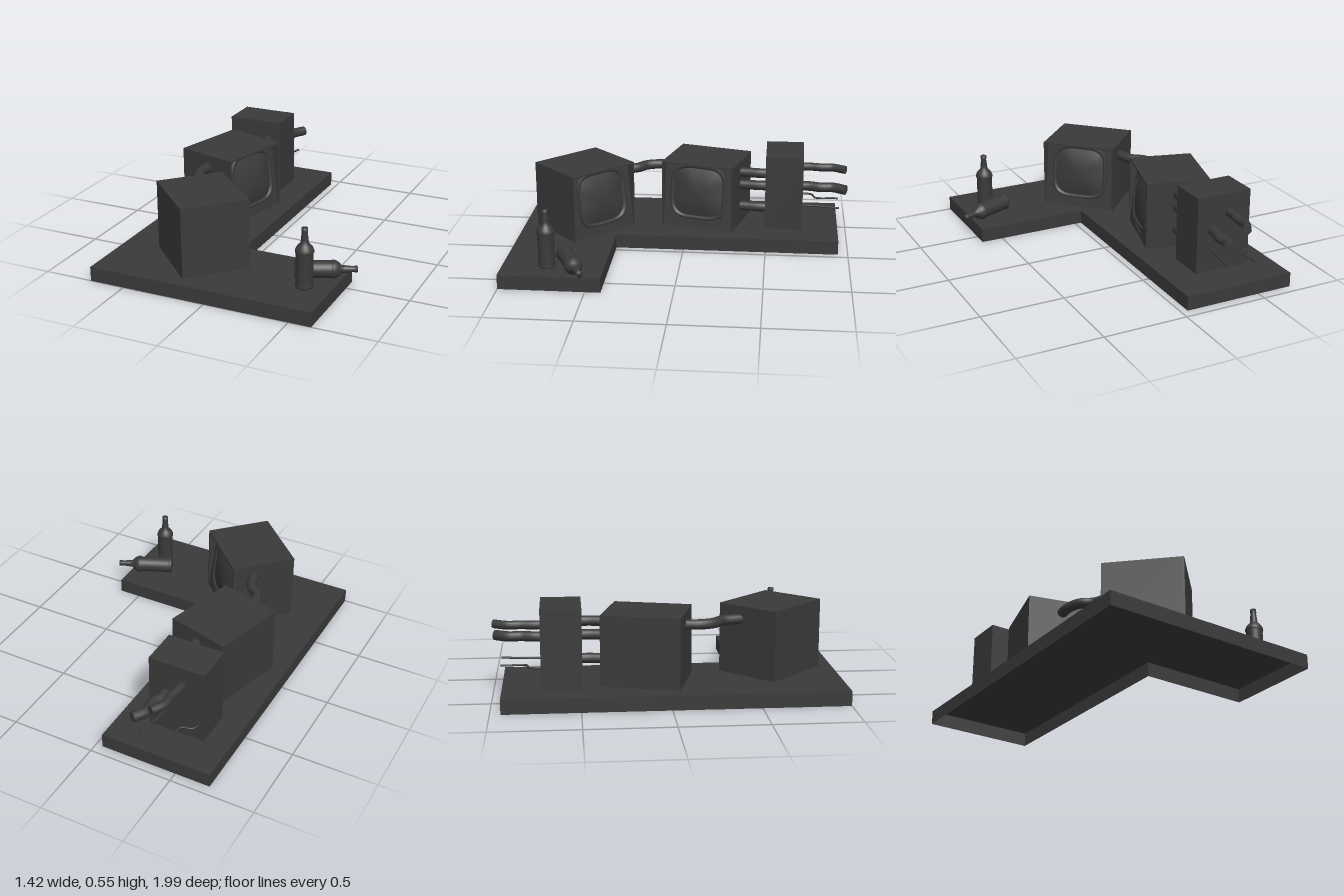
import * as THREE from 'three';

const dark = new THREE.MeshStandardMaterial({ color: 0x3a3a3a });
const darkOpen = new THREE.MeshStandardMaterial({ color: 0x3a3a3a, side: THREE.DoubleSide });
const DECK = 0.085; // height of the desk top

function add(parent, name, geometry, material = dark) {
  const mesh = new THREE.Mesh(geometry, material);
  mesh.name = name;
  parent.add(mesh);
  return mesh;
}

// L-shaped desk slab, open underneath
function createDesk() {
  const desk = new THREE.Group();
  desk.name = 'desk';
  const corners = [[-0.71, 1], [0.63, 1], [0.63, 0.41], [-0.04, 0.41], [-0.04, -0.94], [-0.71, -0.94]];
  const shape = new THREE.Shape(corners.map(([x, z]) => new THREE.Vector2(x, -z)));
  const top = add(desk, 'deskTop', new THREE.ShapeGeometry(shape), darkOpen);
  top.rotation.x = -Math.PI / 2;
  top.position.y = DECK;
  corners.forEach(([x, z], i) => {
    const [x2, z2] = corners[(i + 1) % corners.length];
    const wall = add(desk, 'deskEdge', new THREE.PlaneGeometry(Math.hypot(x2 - x, z2 - z), DECK), darkOpen);
    wall.position.set((x + x2) / 2, DECK / 2, (z + z2) / 2);
    wall.rotation.y = Math.atan2(z - z2, x2 - x);
  });
  return desk;
}

// Rounded-square picture tube with raised rim: a lathe stretched to a squircle
function screenGeometry() {
  const profile = [[0.18, -0.005], [0.178, 0.01], [0.172, 0.013], [0.162, 0.012], [0.157, 0.002]];
  for (let i = 0; i <= 8; i++) {
    const r = 0.155 * (1 - i / 8);
    profile.push([r, 0.003 + 0.028 * (1 - (r / 0.155) ** 2)]);
  }
  const geo = new THREE.LatheGeometry(profile.map(([r, h]) => new THREE.Vector2(r, h)), 64);
  geo.rotateX(Math.PI / 2);
  const p = geo.attributes.position;
  for (let i = 0; i < p.count; i++) {
    const a = Math.atan2(p.getY(i), p.getX(i));
    const f = (Math.cos(a) ** 4 + Math.sin(a) ** 4) ** -0.25;
    p.setXY(i, p.getX(i) * f, p.getY(i) * f * 0.95);
  }
  geo.computeVertexNormals();
  return geo;
}

// Television: hooded case with a panel leaning back under the hood, facing local +z
function createTelevision(x, z, angle, width, depth) {
  const tv = new THREE.Group();
  tv.name = 'television';
  const h = 0.41, d = depth / 2, wall = 0.01, recess = 0.055;
  const side = new THREE.Shape([
    [-d, 0], [d, 0], [d - recess, h - wall], [d, h - wall], [d, h], [-d, h],
  ].map(([a, b]) => new THREE.Vector2(a, b)));
  const body = new THREE.ExtrudeGeometry(side, { depth: width - 2 * wall, bevelEnabled: false });
  body.translate(0, 0, -width / 2 + wall);
  body.rotateY(-Math.PI / 2);
  add(tv, 'case', body);
  for (const s of [-1, 1]) {
    const panel = add(tv, 'sideWall', new THREE.BoxGeometry(wall, h, depth));
    panel.position.set(s * (width - wall) / 2, h / 2, 0);
  }
  const front = new THREE.Group();
  front.name = 'frontPanel';
  front.position.set(0, 0, d);
  front.rotation.x = -Math.atan2(recess, h - wall);
  add(front, 'screen', screenGeometry()).position.y = 0.227;
  add(front, 'controlStrip', new THREE.BoxGeometry(0.145, 0.01, 0.012)).position.y = 0.032;
  tv.add(front);
  tv.position.set(x, DECK, z);
  tv.rotation.y = angle;
  return tv;
}

// Pipe or wire following a level path of [x, z] points
function addPipe(parent, name, y, radius, path) {
  const curve = new THREE.CatmullRomCurve3(path.map(([x, z]) => new THREE.Vector3(x, y, z)));
  add(parent, name, new THREE.TubeGeometry(curve, 36, radius, 14), darkOpen);
  const ends = [[0, -1], [1, 1]];
  for (const [t, s] of ends) {
    const cap = add(parent, name + 'End', new THREE.CircleGeometry(radius, 14));
    const point = curve.getPoint(t);
    cap.position.copy(point);
    cap.lookAt(point.clone().addScaledVector(curve.getTangent(t), s));
  }
}

function createBottle(name) {
  const bottle = new THREE.Group();
  bottle.name = name;
  const profile = [
    [0, 0], [0.046, 0], [0.051, 0.006], [0.051, 0.018], [0.048, 0.022], [0.048, 0.2], [0.052, 0.206],
    [0.052, 0.216], [0.046, 0.232], [0.034, 0.248], [0.023, 0.258], [0.021, 0.275], [0.016, 0.325],
    [0.018, 0.327], [0.018, 0.345], [0, 0.345],
  ];
  const geo = new THREE.LatheGeometry(profile.map(([r, y]) => new THREE.Vector2(r, y)), 28);
  add(bottle, 'glass', geo);
  return bottle;
}

export function createModel() {
  const model = new THREE.Group();
  model.name = 'deskWithTelevisions';
  model.add(createDesk());

  // Two televisions and the tall cabinet behind them
  model.add(createTelevision(-0.377, -0.12, 1.306, 0.456, 0.383));
  model.add(createTelevision(-0.194, 0.62, 2.365, 0.46, 0.393));
  const cabinet = add(model, 'cabinet', new THREE.BoxGeometry(0.34, 0.46, 0.23));
  cabinet.position.set(-0.39, DECK + 0.23, -0.605);

  // Pipes joining the cabinet and the televisions
  for (const y of [0.42, 0.34, 0.2]) {
    addPipe(model, 'linkPipe', y, 0.03, [[-0.3, -0.52], [-0.298, -0.45], [-0.308, -0.38], [-0.32, -0.28]]);
  }
  addPipe(model, 'curvedPipe', 0.417, 0.03,
    [[-0.42, 0.05], [-0.432, 0.18], [-0.405, 0.26], [-0.345, 0.315], [-0.315, 0.41], [-0.29, 0.5]]);

  // Pipes and wires leaving the back of the cabinet
  addPipe(model, 'upperRearPipe', 0.43, 0.025,
    [[-0.42, -0.68], [-0.422, -0.76], [-0.412, -0.83], [-0.415, -0.9], [-0.375, -0.98]]);
  addPipe(model, 'lowerRearPipe', 0.338, 0.03,
    [[-0.32, -0.68], [-0.318, -0.76], [-0.3, -0.83], [-0.305, -0.9], [-0.262, -0.98]]);
  addPipe(model, 'loopedWire', 0.21, 0.006,
    [[-0.525, -0.7], [-0.535, -0.755], [-0.515, -0.785], [-0.465, -0.8], [-0.455, -0.85], [-0.465, -0.9], [-0.46, -0.945]]);
  addPipe(model, 'straightWire', 0.21, 0.006, [[-0.32, -0.7], [-0.31, -0.82], [-0.285, -0.945]]);

  // One bottle standing, one lying on its side
  const standing = createBottle('standingBottle');
  standing.position.set(0.48, DECK + 0.003, 0.74);
  model.add(standing);
  const lying = createBottle('lyingBottle');
  lying.position.set(0.385, DECK + 0.052, 0.655);
  lying.quaternion.setFromUnitVectors(new THREE.Vector3(0, 1, 0), new THREE.Vector3(0.31, 0, -0.14).normalize());
  model.add(lying);

  return model;
}
